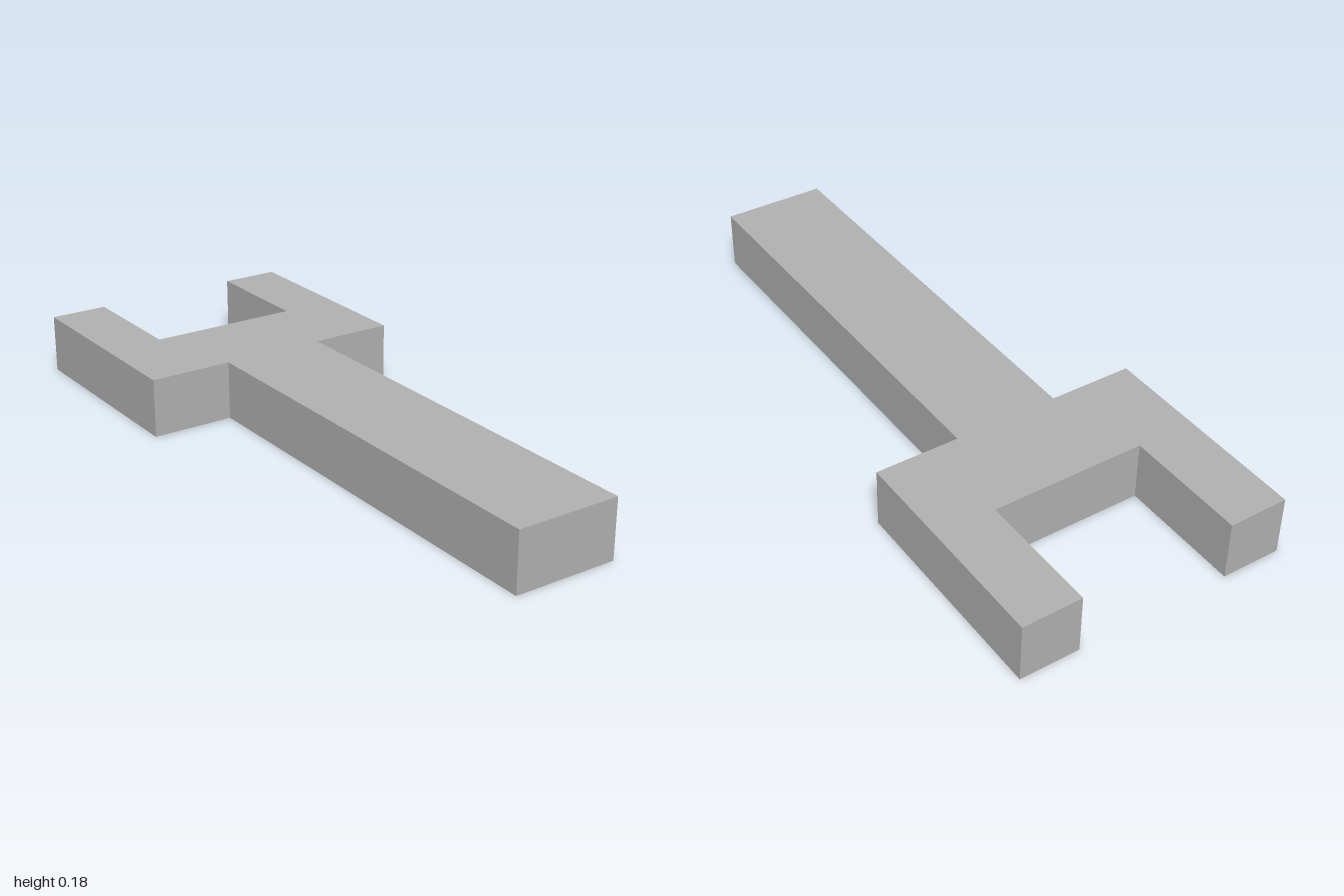
import * as THREE from 'three';

export function createModel() {
  const group = new THREE.Group();
  group.name = 'openEndedWrench';
  const steel = new THREE.MeshStandardMaterial({ color: 0xb2b2b2 });
  steel.name = 'steelGrey';

  const height = 0.18;
  // Right half of the outline as [x, -z], from handle end to jaw notch
  const half = [
    [0.16, -1], [0.16, 0.335], [0.415, 0.335],
    [0.415, 1], [0.235, 1], [0.235, 0.625],
  ];
  const mirrored = half.map(([x, y]) => [-x, y]).reverse();
  const outline = [...half, ...mirrored].map(([x, y]) => new THREE.Vector2(x, y));

  // Handle, head and two jaws as one solid slab
  const geometry = new THREE.ExtrudeGeometry(new THREE.Shape(outline), {
    depth: height, bevelEnabled: false,
  });
  geometry.rotateX(-Math.PI / 2);

  const body = new THREE.Mesh(geometry, steel);
  body.name = 'handleAndJaws';
  group.add(body);
  return group;
}
